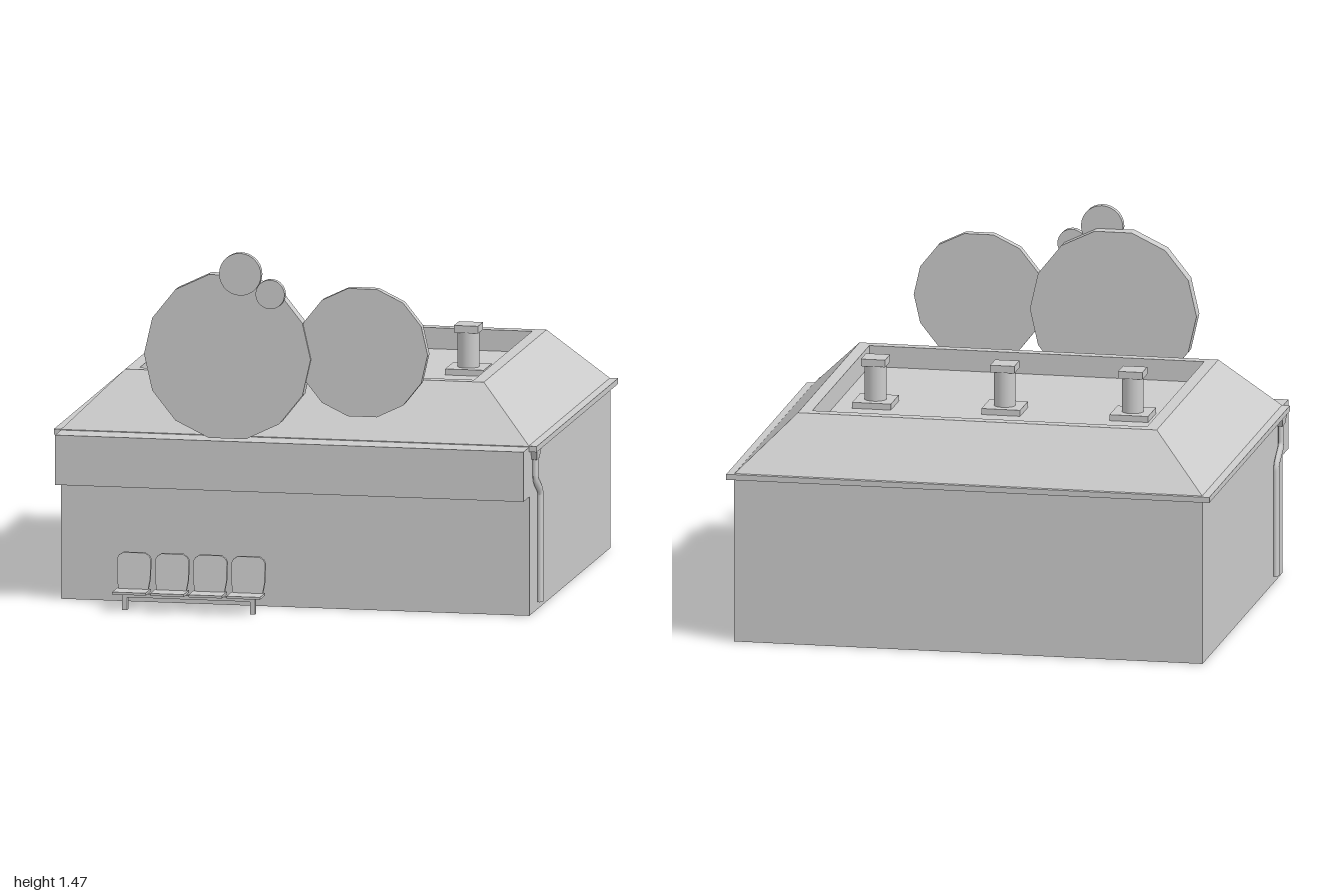
import * as THREE from 'three';

const grey = new THREE.MeshStandardMaterial({ color: 0xcccccc, side: THREE.DoubleSide });

function add(parent, name, geometry, x = 0, y = 0, z = 0) {
  const mesh = new THREE.Mesh(geometry, grey);
  mesh.name = name;
  mesh.position.set(x, y, z);
  parent.add(mesh);
  return mesh;
}

function faceted(geometry) {
  const g = geometry.index ? geometry.toNonIndexed() : geometry;
  g.computeVertexNormals();
  return g;
}

// Flat-sided triangles from quads, each given as four corners
function quads(list) {
  const pos = [];
  for (const [a, b, c, d] of list) pos.push(...a, ...b, ...c, ...a, ...c, ...d);
  const g = new THREE.BufferGeometry();
  g.setAttribute('position', new THREE.Float32BufferAttribute(pos, 3));
  return faceted(g);
}

// Stack of rectangles [half width, back z, front z, y], capped at both ends
function rectLoft(rows) {
  const loops = rows.map(([w, z0, z1, y]) => [[-w, y, z0], [-w, y, z1], [w, y, z1], [w, y, z0]]);
  const faces = [[...loops[0]].reverse(), loops[loops.length - 1]];
  for (let i = 0; i + 1 < loops.length; i++) {
    for (let k = 0; k < 4; k++) {
      const n = (k + 1) % 4;
      faces.push([loops[i][k], loops[i][n], loops[i + 1][n], loops[i + 1][k]]);
    }
  }
  return quads(faces);
}

// Hollow walls, open underneath, with an overhanging sign band in front
function buildWalls(group) {
  const W = 0.97;
  const strip = (points) => points.slice(1).map(([z, y], i) => {
    const [pz, py] = points[i];
    return [[-W, py, pz], [W, py, pz], [W, y, z], [-W, y, z]];
  });
  add(group, 'backWall', quads(strip([[-0.92, 0.69], [-0.92, 0]].reverse().map((p) => p)).map((q) => [...q].reverse())));
  add(group, 'frontWallAndSignBand', quads(strip([[0.69, 0], [0.69, 0.49], [0.81, 0.49], [0.81, 0.695], [0.69, 0.695]])));
  const profile = new THREE.Shape([[-0.92, 0], [0.69, 0], [0.69, 0.49], [0.81, 0.49], [0.81, 0.695], [-0.92, 0.695]]
    .map(([z, y]) => new THREE.Vector2(z, y)));
  add(group, 'rightWall', new THREE.ShapeGeometry(profile).rotateY(-Math.PI / 2), -W);
  // The other side has its corners reversed so that it faces outward
  const left = new THREE.ShapeGeometry(profile).rotateY(-Math.PI / 2).toNonIndexed();
  const p = left.attributes.position;
  for (let i = 0; i < p.count; i += 3) {
    const z = p.getZ(i), y = p.getY(i);
    p.setXYZ(i, 0, p.getY(i + 1), p.getZ(i + 1));
    p.setXYZ(i + 1, 0, y, z);
  }
  add(group, 'leftWall', faceted(left), W);
}

// Roof vent: plinth, round stem and square cap
function buildVent(group, x) {
  const vent = new THREE.Group();
  vent.name = 'roofVent';
  vent.position.set(x, 0, -0.185);
  add(vent, 'ventPlinth', new THREE.BoxGeometry(0.16, 0.025, 0.16), 0, 0.8475);
  add(vent, 'ventStem', new THREE.CylinderGeometry(0.045, 0.045, 0.15, 16), 0, 0.932);
  add(vent, 'ventCap', new THREE.BoxGeometry(0.1, 0.03, 0.1), 0, 1.02);
  group.add(vent);
}

// Fourteen-sided sign disc whose rim is left open at the bottom
function buildSignDisc(group, name, x, y, r, z0, z1, first, count) {
  const disc = new THREE.Group();
  disc.name = name;
  disc.position.set(x, y, 0);
  add(disc, 'discFront', new THREE.CircleGeometry(r, 14), 0, 0, z1);
  add(disc, 'discBack', new THREE.CircleGeometry(r, 14).rotateY(Math.PI), 0, 0, z0);
  const step = Math.PI / 7, rim = [];
  for (let k = first; k < first + count; k++) {
    const a = k * step, b = a + step;
    const at = (t, z) => [r * Math.cos(t), r * Math.sin(t), z];
    rim.push([at(a, z0), at(b, z0), at(b, z1), at(a, z1)]);
  }
  add(disc, 'discRim', quads(rim));
  group.add(disc);
}

// Hopper and bent drainpipe, flattened against the side wall
function buildDrain(group, side) {
  const drain = new THREE.Group();
  drain.name = side > 0 ? 'leftDrainpipe' : 'rightDrainpipe';
  drain.position.x = side * 0.98;
  const path = new THREE.CurvePath();
  const pts = [[0.66, 0.615], [0.57, 0.615], [0.54, 0.6], [0.5, 0.535], [0.47, 0.517], [0.03, 0.517]]
    .map(([y, z]) => new THREE.Vector3(0, y, z));
  path.add(new THREE.LineCurve3(pts[0], pts[1]));
  path.add(new THREE.QuadraticBezierCurve3(pts[1], new THREE.Vector3(0, 0.55, 0.615), pts[2]));
  path.add(new THREE.LineCurve3(pts[2], pts[3]));
  path.add(new THREE.QuadraticBezierCurve3(pts[3], new THREE.Vector3(0, 0.485, 0.517), pts[4]));
  path.add(new THREE.LineCurve3(pts[4], pts[5]));
  const pipe = add(drain, 'pipe', new THREE.TubeGeometry(path, 60, 0.023, 10));
  pipe.scale.x = 0.5;
  add(drain, 'hopper', rectLoft([[0.011, 0.587, 0.643, 0.635], [0.015, 0.57, 0.66, 0.67], [0.015, 0.57, 0.66, 0.68]]));
  group.add(drain);
}

// Four moulded seats on a beam with two legs
function buildSeats(group) {
  const row = new THREE.Group();
  row.name = 'seatRow';
  const outline = new THREE.Shape([[-0.06, 0.07], [0.06, 0.07], [0.069, 0.12], [0.07, 0.2], [0.062, 0.214],
    [0.045, 0.225], [-0.045, 0.225], [-0.062, 0.214], [-0.07, 0.2], [-0.069, 0.12]].map(([x, y]) => new THREE.Vector2(x, y)));
  const back = new THREE.ExtrudeGeometry(outline, { depth: 0.016, bevelEnabled: false });
  // Lean the backrest rearward with height
  const p = back.attributes.position;
  for (let i = 0; i < p.count; i++) p.setZ(i, p.getZ(i) + 0.823 - (p.getY(i) - 0.07) * 0.1);
  back.computeVertexNormals();
  for (let i = 0; i < 4; i++) {
    const x = -0.64 + i * 0.158;
    add(row, 'seatBack', back, x);
    add(row, 'seatPan', new THREE.BoxGeometry(0.138, 0.01, 0.105), x, 0.073, 0.873);
  }
  add(row, 'seatBeam', new THREE.BoxGeometry(0.55, 0.016, 0.024), -0.4, 0.06, 0.878);
  for (const x of [-0.665, -0.135]) add(row, 'seatLeg', new THREE.BoxGeometry(0.02, 0.056, 0.024), x, 0.028, 0.878);
  group.add(row);
}

export function createModel() {
  const group = new THREE.Group();
  group.name = 'shopBuilding';
  buildWalls(group);

  // Eaves, sloping roof, parapet rim and sunken deck in one loft
  add(group, 'roof', rectLoft([
    [1, -0.93, 0.692, 0.675], [1, -0.93, 0.692, 0.698], [0.968, -0.918, 0.69, 0.7],
    [0.743, -0.738, 0.505, 0.922], [0.693, -0.69, 0.46, 0.922], [0.693, -0.69, 0.46, 0.835],
  ]));
  for (const x of [-0.53, 0, 0.535]) buildVent(group, x);

  // Sign discs above the front, with two small round ones on the larger
  buildSignDisc(group, 'largeSignDisc', -0.26, 1.04, 0.345, 0.735, 0.793, -1, 10);
  buildSignDisc(group, 'smallSignDisc', 0.298, 1.075, 0.27, 0.745, 0.783, -2, 11);
  for (const [x, y, r, z] of [[-0.203, 1.385, 0.087, 0.8], [-0.078, 1.307, 0.06, 0.803]]) {
    add(group, 'roundBadge', new THREE.CylinderGeometry(r, r, 0.028, 28).rotateX(Math.PI / 2), x, y, z);
  }

  for (const side of [-1, 1]) buildDrain(group, side);
  buildSeats(group);
  return group;
}
